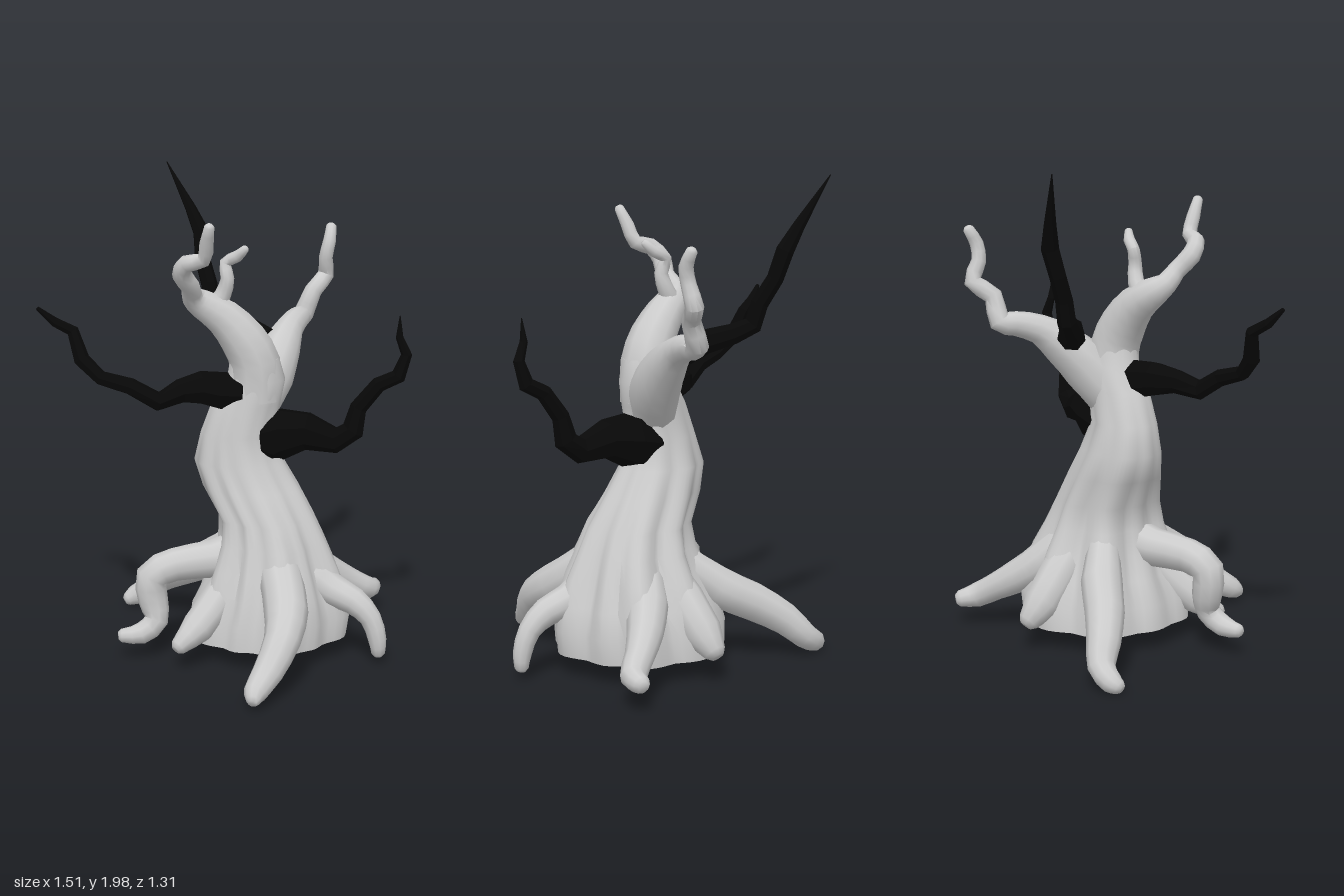
import * as THREE from 'three';
import { toCreasedNormals } from 'three/addons/utils/BufferGeometryUtils.js';

const bark = new THREE.MeshStandardMaterial({ color: 0xcccccc });
const charred = new THREE.MeshStandardMaterial({ color: 0x080808, flatShading: true });

// Closed skin over a list of rings that all have the same number of points
function loft(rings) {
  const n = rings[0].length, pos = [], idx = [];
  rings.forEach(r => r.forEach(p => pos.push(p.x, p.y, p.z)));
  for (let i = 0; i < rings.length - 1; i++) for (let j = 0; j < n; j++) {
    const a = i * n + j, b = i * n + (j + 1) % n;
    idx.push(a, b, a + n, b, b + n, a + n);
  }
  [rings[0], rings[rings.length - 1]].forEach((ring, end) => {
    const c = ring.reduce((s, p) => s.add(p), new THREE.Vector3()).divideScalar(n);
    const k = pos.length / 3, o = end ? (rings.length - 1) * n : 0;
    pos.push(c.x, c.y, c.z);
    for (let j = 0; j < n; j++) {
      const a = o + j, b = o + (j + 1) % n;
      idx.push(k, end ? a : b, end ? b : a);
    }
  });
  const g = new THREE.BufferGeometry();
  g.setAttribute('position', new THREE.Float32BufferAttribute(pos, 3));
  g.setIndex(idx);
  return g;
}

// Tapering limb through points [x, y, z, radius]; smooth limbs get a rounded tip
function limb(points, sides, smooth) {
  let centres = points.map(p => new THREE.Vector3(p[0], p[1], p[2]));
  let radii = points.map(p => p[3]);
  if (smooth) {
    const curve = new THREE.CatmullRomCurve3(centres), m = points.length - 1, old = radii;
    centres = []; radii = [];
    for (let i = 0; i <= m * 2; i++) {
      const k = Math.min(Math.floor(i / 2), m - 1);
      centres.push(curve.getPoint(i / (m * 2)));
      radii.push(THREE.MathUtils.lerp(old[k], old[k + 1], i / 2 - k));
    }
    centres.push(curve.getPoint(1).addScaledVector(curve.getTangent(1), old[m] * 0.45));
    radii.push(old[m] * 0.6);
  }
  const last = centres.length - 1, q = new THREE.Quaternion();
  const t = new THREE.Vector3(0, 0, 1);
  const rings = centres.map((c, i) => {
    const d = centres[Math.min(i + 1, last)].clone().sub(centres[Math.max(i - 1, 0)]).normalize();
    q.premultiply(new THREE.Quaternion().setFromUnitVectors(t, d));
    t.copy(d);
    return Array.from({ length: sides }, (_, j) => {
      const a = j / sides * Math.PI * 2;
      return new THREE.Vector3(Math.cos(a), Math.sin(a), 0).multiplyScalar(radii[i]).applyQuaternion(q).add(c);
    });
  });
  return loft(rings);
}

// Trunk ridges that run down into the roots: x, z they point at, strength, width in radians
const ridges = [
  [0.28, 0.28, 1, 0.24], [0.5, 0.02, 0.8, 0.2], [-0.05, 0.15, 0.75, 0.2], [-0.15, -0.32, 1, 0.24],
  [0.16, -0.4, 0.9, 0.24], [0.4, -0.33, 1, 0.22], [0.46, -0.19, 0.6, 0.17], [0.38, 0.18, 0.6, 0.16],
  [0.09, 0.25, 0.6, 0.14], [-0.15, -0.05, 0.4, 0.2]
].map(([x, z, strength, width]) => [Math.atan2(-(z + 0.07), x - 0.19), strength, width]);

// Trunk sections: y, centre x, centre z, radius x, radius z, ridge height
function trunkGeometry() {
  const S = [
    [0.1, 0.175, -0.08, 0.31, 0.31, 0.05], [0.2, 0.185, -0.08, 0.3, 0.295, 0.07],
    [0.3, 0.195, -0.075, 0.25, 0.25, 0.1], [0.4, 0.195, -0.07, 0.215, 0.22, 0.095],
    [0.5, 0.19, -0.07, 0.195, 0.195, 0.065], [0.6, 0.17, -0.07, 0.18, 0.18, 0.045],
    [0.72, 0.105, -0.085, 0.19, 0.155, 0.03], [0.83, 0.055, -0.09, 0.18, 0.135, 0.02],
    [0.95, 0.045, -0.08, 0.145, 0.115, 0.012], [1.08, 0.085, -0.08, 0.14, 0.11, 0.005],
    [1.18, 0.125, -0.085, 0.12, 0.105, 0], [1.27, 0.12, -0.075, 0.1, 0.09, 0]
  ];
  return loft(S.map(([y, cx, cz, rx, rz, height]) => Array.from({ length: 64 }, (_, j) => {
    const a = j / 64 * Math.PI * 2;
    let bulge = 0;
    for (const [angle, strength, width] of ridges) {
      const d = Math.atan2(Math.sin(a - angle), Math.cos(a - angle));
      bulge = Math.max(bulge, strength * Math.exp(-d * d / (2 * width * width)));
    }
    return new THREE.Vector3(cx + (rx + height * bulge) * Math.cos(a), y, cz - (rz + height * bulge) * Math.sin(a));
  })));
}

const roots = {
  frontRoot: [[.21, .52, .02, .06], [.25, .4, .14, .09], [.285, .3, .29, .09], [.28, .23, .42, .075], [.23, .13, .52, .062], [.19, .08, .6, .048], [.185, .06, .635, .03]],
  leftRoot: [[.26, .5, -.05, .06], [.36, .38, 0, .08], [.46, .31, .03, .068], [.55, .275, .06, .058], [.62, .21, .08, .045], [.65, .12, .09, .038], [.655, .06, .09, .028]],
  archedRoot: [[.1, .45, -.05, .1], [-.05, .42, .01, .08], [-.2, .41, .07, .07], [-.29, .365, .1, .068], [-.285, .26, .1, .062], [-.27, .18, .12, .05], [-.33, .13, .15, .045], [-.41, .125, .17, .028]],
  frontRightRoot: [[.07, .42, .0, .06], [-.01, .28, .1, .075], [-.09, .18, .19, .068], [-.16, .12, .26, .035]],
  backRightRoot: [[.06, .48, -.17, .06], [-.08, .33, -.28, .085], [-.22, .25, -.36, .08], [-.33, .17, -.44, .068], [-.39, .1, -.49, .055], [-.46, .06, -.49, .045], [-.49, .045, -.475, .03]],
  backRoot: [[.17, .5, -.18, .06], [.16, .33, -.32, .085], [.15, .21, -.42, .08], [.15, .14, -.49, .045]],
  backLeftRoot: [[.23, .5, -.18, .06], [.33, .33, -.29, .085], [.42, .25, -.37, .072], [.51, .19, -.43, .058], [.59, .14, -.48, .052], [.615, .13, -.55, .035]]
};

const boughs = {
  frontBough: [[.12, 1.1, -.08, .11], [.12, 1.25, -.075, .105], [.07, 1.35, -.065, .095], [-.01, 1.44, -.055, .078], [-.09, 1.495, -.03, .062], [-.125, 1.53, .01, .045], [-.125, 1.58, .06, .038], [-.155, 1.64, .11, .04], [-.13, 1.69, .15, .035], [-.06, 1.71, .17, .03], [-.045, 1.78, .2, .028], [-.03, 1.85, .235, .02]],
  smallTwig: [[-.06, 1.45, -.05, .05], [-.01, 1.53, -.06, .034], [.01, 1.6, -.05, .028], [0, 1.66, -.065, .025], [.05, 1.69, -.05, .024], [.085, 1.725, -.03, .016]],
  backBough: [[.11, 1.05, -.1, .1], [.17, 1.17, -.18, .105], [.21, 1.27, -.28, .085], [.24, 1.335, -.37, .06], [.27, 1.36, -.46, .05], [.29, 1.37, -.52, .044], [.33, 1.47, -.525, .038], [.38, 1.53, -.59, .036], [.38, 1.61, -.56, .03], [.395, 1.68, -.56, .028], [.4, 1.74, -.595, .022]]
};

const darkBranches = {
  leftDarkBranch: [[.115, .935, -.045, .085], [.17, .935, -.08, .118], [.23, .95, -.08, .11], [.34, .965, -.07, .08], [.46, .935, -.05, .055], [.53, .985, -.04, .048], [.55, 1.08, -.035, .036], [.63, 1.18, -.03, .033], [.71, 1.22, -.02, .032], [.74, 1.31, -.015, .023], [.71, 1.38, -.01, .016], [.71, 1.47, 0, .002]],
  rightDarkBranch: [[.09, 1.13, -.02, .055], [0, 1.13, -.04, .08], [-.1, 1.145, -.03, .07], [-.18, 1.14, .02, .05], [-.26, 1.11, .08, .04], [-.37, 1.175, .1, .035], [-.49, 1.21, .11, .03], [-.57, 1.28, .09, .034], [-.61, 1.39, .06, .026], [-.68, 1.43, .08, .02], [-.745, 1.49, .1, .008]],
  backDarkBranch: [[.15, 1.3, -.27, .06], [.05, 1.35, -.33, .05], [-.04, 1.38, -.4, .042], [-.1, 1.415, -.45, .038], [-.115, 1.5, -.47, .036], [-.15, 1.6, -.52, .034], [-.16, 1.71, -.56, .036], [-.21, 1.81, -.59, .024], [-.32, 2, -.65, .002]]
};

export function createModel() {
  const tree = new THREE.Group();
  tree.name = 'gnarledTree';
  const add = (name, geometry, material) => {
    const mesh = new THREE.Mesh(geometry, material);
    mesh.name = name;
    tree.add(mesh);
  };
  // Ridged, leaning trunk
  add('trunk', toCreasedNormals(trunkGeometry(), 1), bark);
  // Grey roots and boughs
  for (const [name, path] of Object.entries({ ...roots, ...boughs }))
    add(name, toCreasedNormals(limb(path, 10, true), 1), bark);
  // Faceted dark branches
  for (const [name, path] of Object.entries(darkBranches)) {
    const g = limb(path, 7, false);
    g.computeVertexNormals();
    add(name, g, charred);
  }
  return tree;
}
